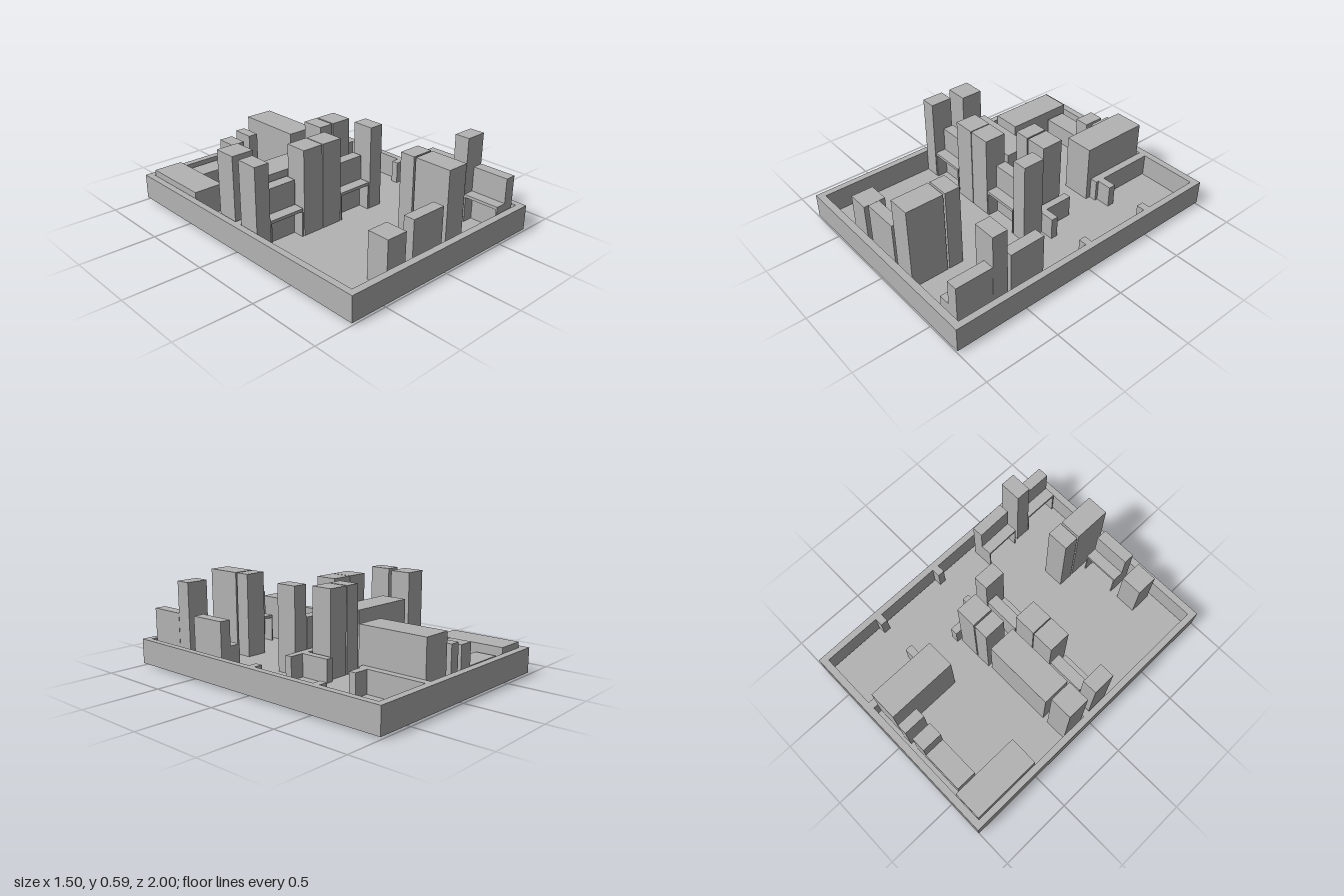
import * as THREE from 'three';

export function createModel() {
  const root = new THREE.Group();
  root.name = 'furnishedFloorPlan';
  const grey = new THREE.MeshStandardMaterial({ color: 0xb3b3b3 });
  grey.name = 'matte grey';
  const FLOOR = 0.03, WALL_BASE = 0.015, WALL_TOP = 0.18;

  // Box given by its limits on each axis
  function block(name, x0, x1, z0, z1, top, bottom = FLOOR, parent = root) {
    const mesh = new THREE.Mesh(new THREE.BoxGeometry(x1 - x0, top - bottom, z1 - z0), grey);
    mesh.position.set((x0 + x1) / 2, (bottom + top) / 2, (z0 + z1) / 2);
    mesh.name = name;
    parent.add(mesh);
    return mesh;
  }

  // Floor slab, showing slightly below the walls
  block('floor', -0.702, 0.702, -0.948, 0.948, FLOOR, 0);

  // Outer wall ring
  const rect = (P, w, d) => new P([[-w, -d], [w, -d], [w, d], [-w, d]].map(p => new THREE.Vector2(...p)));
  const ring = rect(THREE.Shape, 0.75, 1);
  ring.holes.push(rect(THREE.Path, 0.707, 0.953));
  const wallGeo = new THREE.ExtrudeGeometry(ring, { depth: WALL_TOP - WALL_BASE, bevelEnabled: false });
  wallGeo.rotateX(-Math.PI / 2);
  const walls = new THREE.Mesh(wallGeo, grey);
  walls.position.y = WALL_BASE;
  walls.name = 'outerWalls';
  root.add(walls);

  // Partition walls and door jambs
  [
    [-0.707, 0.41, -0.04, 0.008],
    [0.26, 0.31, -0.24, -0.04],
    [0.26, 0.31, -0.953, -0.48],
    [0.31, 0.41, -0.55, -0.5],
    [0.65, 0.707, -0.55, -0.5],
    [0.65, 0.707, -0.04, 0.008],
  ].forEach(w => block('partitionWall', ...w, WALL_TOP));

  // Tall cabinets
  [
    [-0.7, -0.55, -0.2, -0.05],
    [-0.01, 0.09, -0.21, -0.06],
    [0.1, 0.242, -0.21, -0.06],
    [-0.702, -0.602, 0.012, 0.162],
    [-0.338, -0.192, 0.012, 0.16],
    [-0.186, -0.04, 0.012, 0.16],
    [0.222, 0.322, 0.012, 0.16],
    [0.07, 0.217, 0.67, 0.92],
    [0.07, 0.217, 0.555, 0.657],
    [0.53, 0.678, 0.588, 0.69],
  ].forEach(c => block('tallCabinet', ...c, 0.593));

  // Lower cabinets and benches
  block('wideCabinet', -0.512, -0.034, -0.2, -0.01, 0.42);
  block('deepCabinet', 0.063, 0.26, -0.92, -0.445, 0.42);
  block('smallCabinet', -0.41, -0.265, 0.77, 0.918, 0.336);
  block('narrowCabinet', -0.042, 0.028, -0.928, -0.775, 0.338);
  block('bed', -0.702, -0.502, -0.95, -0.47, 0.218);
  block('benchSeat', -0.482, -0.19, -0.918, -0.775, 0.165);
  block('benchEnd', -0.19, -0.09, -0.918, -0.775, 0.31);

  // Desk with a tall back and an open front on thin side panels; opens to +z
  function desk(x, z, turn) {
    const g = new THREE.Group();
    g.name = 'desk';
    const w = 0.124, d = 0.075, t = 0.008;
    block('deskBack', -w, w, -d, 0, 0.385, FLOOR, g);
    block('deskTop', -w, w, 0, d, 0.22, 0.2, g);
    for (const s of [-1, 1]) {
      const c = s * (w - t / 2);
      block('deskSide', c - t / 2, c + t / 2, 0, d, 0.2, FLOOR, g);
    }
    g.position.set(x, 0, z);
    g.rotation.y = turn;
    root.add(g);
  }
  desk(-0.472, 0.085, 0);
  desk(0.09, 0.085, 0);
  desk(-0.084, 0.843, Math.PI);
  desk(0.603, 0.816, -Math.PI / 2);
  desk(0.589, 0.432, -Math.PI / 2 + 0.02);

  return root;
}
